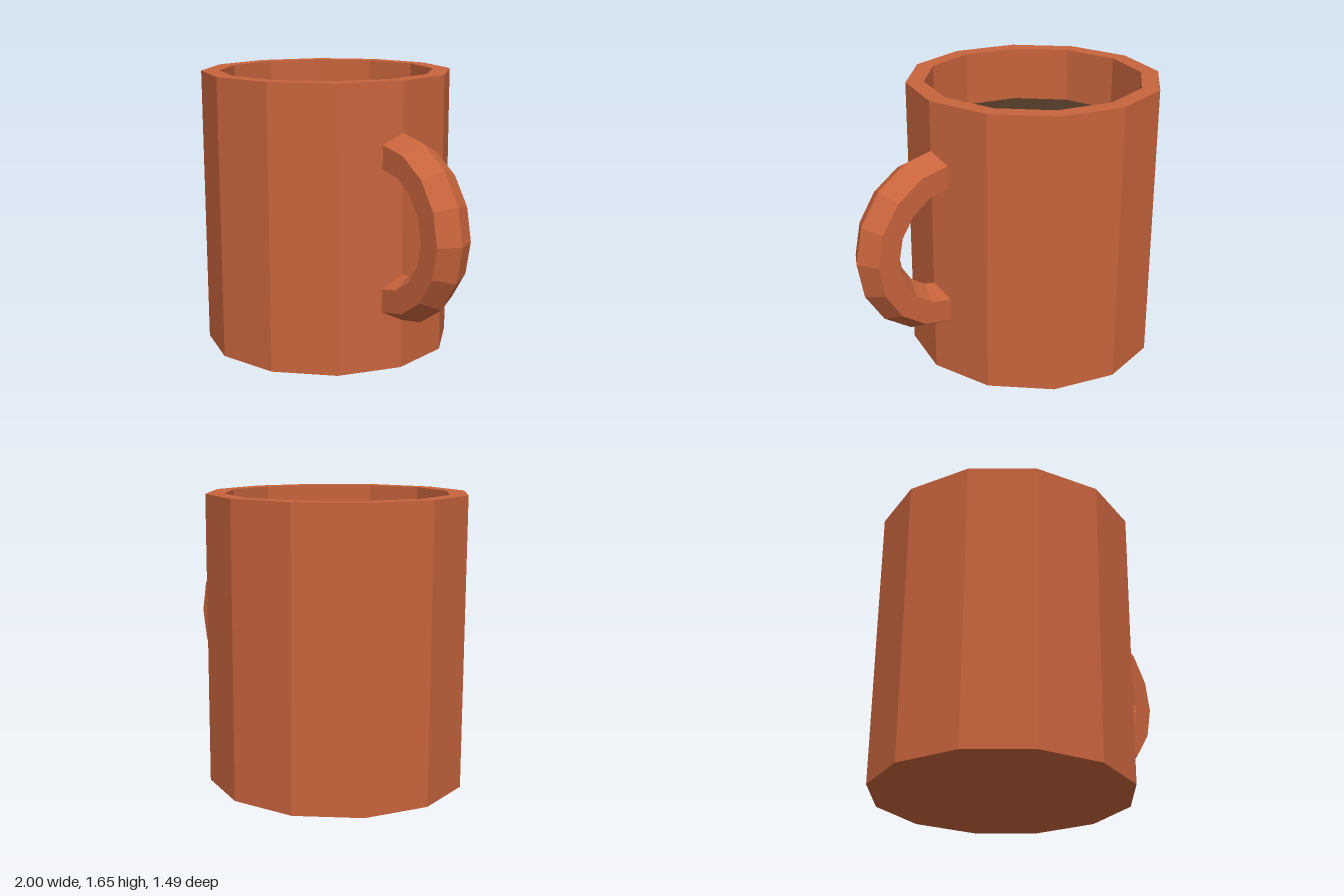
import * as THREE from 'three';

export function createModel() {
  const clay = new THREE.MeshStandardMaterial({ color: 0xc8643d, flatShading: true });
  clay.name = 'terracotta';
  const coffee = new THREE.MeshStandardMaterial({ color: 0x4e3825, flatShading: true });
  coffee.name = 'dark coffee';

  const sides = 12, radius = 0.745, innerRadius = 0.64, height = 1.655, level = 1.33;
  const model = new THREE.Group();
  model.name = 'mug';

  const add = (name, geometry, material, x, y) => {
    const mesh = new THREE.Mesh(geometry, material);
    mesh.name = name;
    mesh.position.set(x, y, 0);
    model.add(mesh);
    return mesh;
  };

  // Hollow twelve-sided cup: base, outer wall, rim, inner wall down to the drink
  const profile = [[0, 0], [radius, 0], [radius, height], [innerRadius, height], [innerRadius, level]]
    .map(([x, y]) => new THREE.Vector2(x, y));
  add('cup', new THREE.LatheGeometry(profile, sides), clay, -0.255, 0);

  // Drink surface
  add('drink', new THREE.CircleGeometry(innerRadius, sides).rotateX(-Math.PI / 2), coffee, -0.255, level);

  // Half-ring handle with a hexagonal section, its ends sunk into the wall
  add('handle', new THREE.TorusGeometry(0.413, 0.135, 6, 8, Math.PI).rotateZ(-Math.PI / 2), clay, 0.452, 0.828);

  return model;
}
